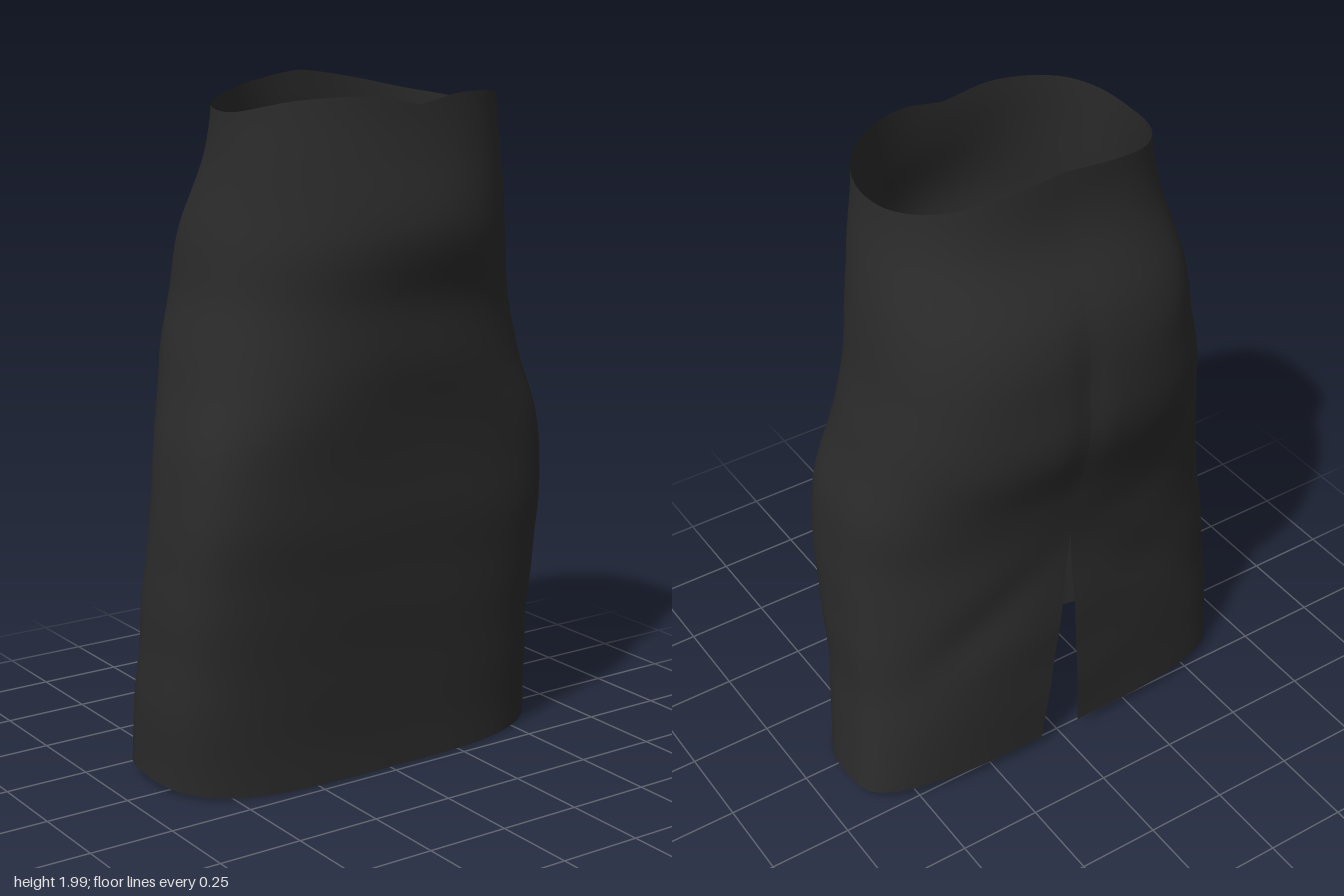
import * as THREE from 'three';

// Cross-sections every 0.2 up: [-x reach, +x reach, front z, back z, z of widest point, front squareness, back squareness]
const SECTIONS = [
  [0.645, 0.652, 0.220, -0.280, -0.12, 3.2, 3.0],
  [0.652, 0.625, 0.230, -0.292, -0.09, 3.5, 2.6],
  [0.648, 0.608, 0.248, -0.300, -0.06, 3.7, 2.4],
  [0.640, 0.605, 0.268, -0.303, -0.03, 3.9, 2.3],
  [0.625, 0.598, 0.288, -0.303, 0.00, 4.1, 2.3],
  [0.600, 0.578, 0.302, -0.328, 0.00, 3.7, 2.35],
  [0.557, 0.528, 0.332, -0.385, 0.00, 2.6, 2.45],
  [0.510, 0.487, 0.348, -0.390, 0.00, 2.3, 2.6],
  [0.480, 0.465, 0.392, -0.360, 0.02, 2.05, 2.55],
  [0.440, 0.425, 0.357, -0.268, 0.06, 2.2, 2.45],
  [0.424, 0.410, 0.335, -0.240, 0.07, 2.25, 2.4],
];
// Waist edge height every 30 degrees from the back seam to the front
const RIM = [[2.0], [1.975], [1.935], [1.917], [1.955], [1.962], [1.937]];
const SLIT_TOP = 0.83;
const COLS = 128, ROWS = 80;

const bell = (v, width) => Math.exp(-((v / width) ** 2));

// Smooth curve through the rows of a table, read at fractional row f
function blend(table, f) {
  const last = table.length - 1;
  const i = Math.min(Math.floor(f), last - 1), t = f - i;
  const row = (k) => table[THREE.MathUtils.clamp(k, 0, last)];
  return table[0].map((_, c) => {
    const a = row(i - 1)[c], b = row(i)[c], d = row(i + 1)[c], e = row(i + 2)[c];
    return b + 0.5 * t * (d - a + t * (2 * a - 5 * b + 4 * d - e + t * (3 * (b - d) + e - a)));
  });
}

// Point on the cloth: u runs round from the back seam, y is height
function clothPoint(u, y) {
  const [left, right, front, back, mid, nf, nb] = blend(SECTIONS, y / 0.2);
  const angle = -Math.PI / 2 + u * Math.PI * 2;
  const c = Math.cos(angle), s = Math.sin(angle);
  const w = c < 0 ? left : right;
  const d = s < 0 ? mid - back : front - mid;
  const n = s < 0 ? nb : nf;
  const r = (Math.abs(c / w) ** n + Math.abs(s / d) ** n) ** (-1 / n);
  let x = r * c, z = mid + r * s;

  if (s < 0) {
    // seat cleft and the drag folds running out and down from the slit
    const fold = Math.abs(x) - 0.2 - (0.7 - y);
    z += 0.012 * bell(x, 0.05) * bell(y - 1.35, 0.25);
    z -= 0.025 * s * bell(fold, 0.13) * bell(y - 0.53, 0.2);
    // slit widening downwards
    const open = Math.max(0, 1 - y / SLIT_TOP) * bell(x, 0.3);
    x += u < 0.5 ? 0.083 * open : -0.06 * open;
  }
  // slight cloth wrinkles
  const ripple = 0.002 * Math.sin(y * 21 + x * 6) * Math.sin(x * 5 - y * 4);
  return [x + ripple * c, z + ripple * s];
}

function skirtGeometry() {
  const positions = [], index = [];
  for (let i = 0; i <= COLS; i++) {
    const u = i / COLS;
    // hem rises towards the back; waist edge peaks at the back and dips at the sides
    const hemZ = clothPoint(u, 0)[1];
    const hem = 0.01 + 0.035 * THREE.MathUtils.clamp((0.2 - hemZ) / 0.37, 0, 1);
    const rim = blend(RIM, Math.min(u, 1 - u) * 12)[0];
    for (let j = 0; j <= ROWS; j++) {
      const y = hem + (rim - hem) * (j / ROWS);
      const [x, z] = clothPoint(u, y);
      positions.push(x, y, z);
      if (i < COLS && j < ROWS) {
        const a = i * (ROWS + 1) + j, b = a + ROWS + 1;
        index.push(a, a + 1, b, b, a + 1, b + 1);
      }
    }
  }
  const geometry = new THREE.BufferGeometry();
  geometry.setAttribute('position', new THREE.Float32BufferAttribute(positions, 3));
  geometry.setIndex(index);
  geometry.computeVertexNormals();
  return geometry;
}

export function createModel() {
  const group = new THREE.Group();
  group.name = 'pencilSkirt';
  const cloth = new THREE.MeshStandardMaterial({ color: 0x2b2b2b, side: THREE.DoubleSide });
  cloth.name = 'charcoal cloth';
  const skirt = new THREE.Mesh(skirtGeometry(), cloth);
  skirt.name = 'skirtBody';
  group.add(skirt);
  return group;
}
